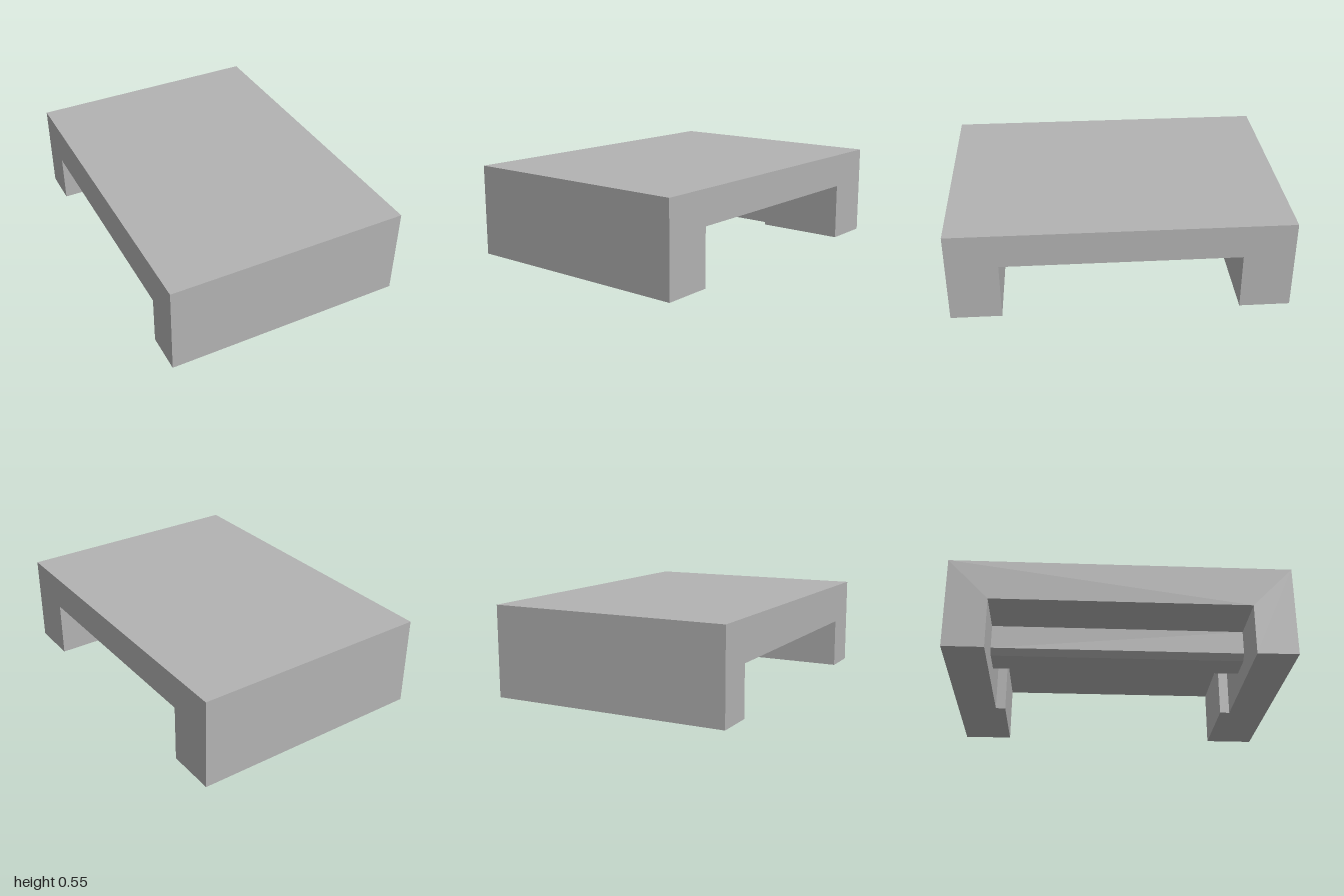
import * as THREE from 'three';

const HEIGHT = 0.55, HALF_LENGTH = 1, HALF_WIDTH = 0.73;

// Polygon in the given plane, extruded by depth
function extrude(points, depth) {
  const shape = new THREE.Shape(points.map(([a, b]) => new THREE.Vector2(a, b)));
  return new THREE.ExtrudeGeometry(shape, { depth, bevelEnabled: false });
}

// Bridge-shaped slice between two x positions, with a rectangular opening below
function bridgeSlice(x0, x1, openHalf, openTop) {
  const geometry = extrude([
    [-HALF_LENGTH, 0], [-openHalf, 0], [-openHalf, openTop], [openHalf, openTop],
    [openHalf, 0], [HALF_LENGTH, 0], [HALF_LENGTH, HEIGHT], [-HALF_LENGTH, HEIGHT],
  ], x1 - x0);
  return geometry.rotateY(Math.PI / 2).translate(x0, 0, 0);
}

export function createModel() {
  const grey = new THREE.MeshStandardMaterial({ color: 0xb2b2b2 });
  grey.name = 'grey';
  const model = new THREE.Group();
  model.name = 'bridgeBlock';
  const add = (name, geometry) => {
    const mesh = new THREE.Mesh(geometry, grey);
    mesh.name = name;
    model.add(mesh);
  };

  // Body: the opening gets wider, then lower, from +x to -x
  add('narrowBridge', bridgeSlice(0.177, HALF_WIDTH, 0.7, 0.345));
  add('wideBridge', bridgeSlice(-0.117, 0.177, 0.76, 0.345));
  add('lowBridge', bridgeSlice(-HALF_WIDTH, -0.117, 0.76, 0.305));

  // Rail with chamfered lower edges hanging below the slab
  const left = -0.39, right = -0.135, chamfer = 0.035;
  add('rail', extrude([
    [left, 0.305], [left, 0.16], [left + chamfer, 0.125],
    [right - chamfer, 0.125], [right, 0.16], [right, 0.305],
  ], 1.52).translate(0, 0, -0.76));

  return model;
}
